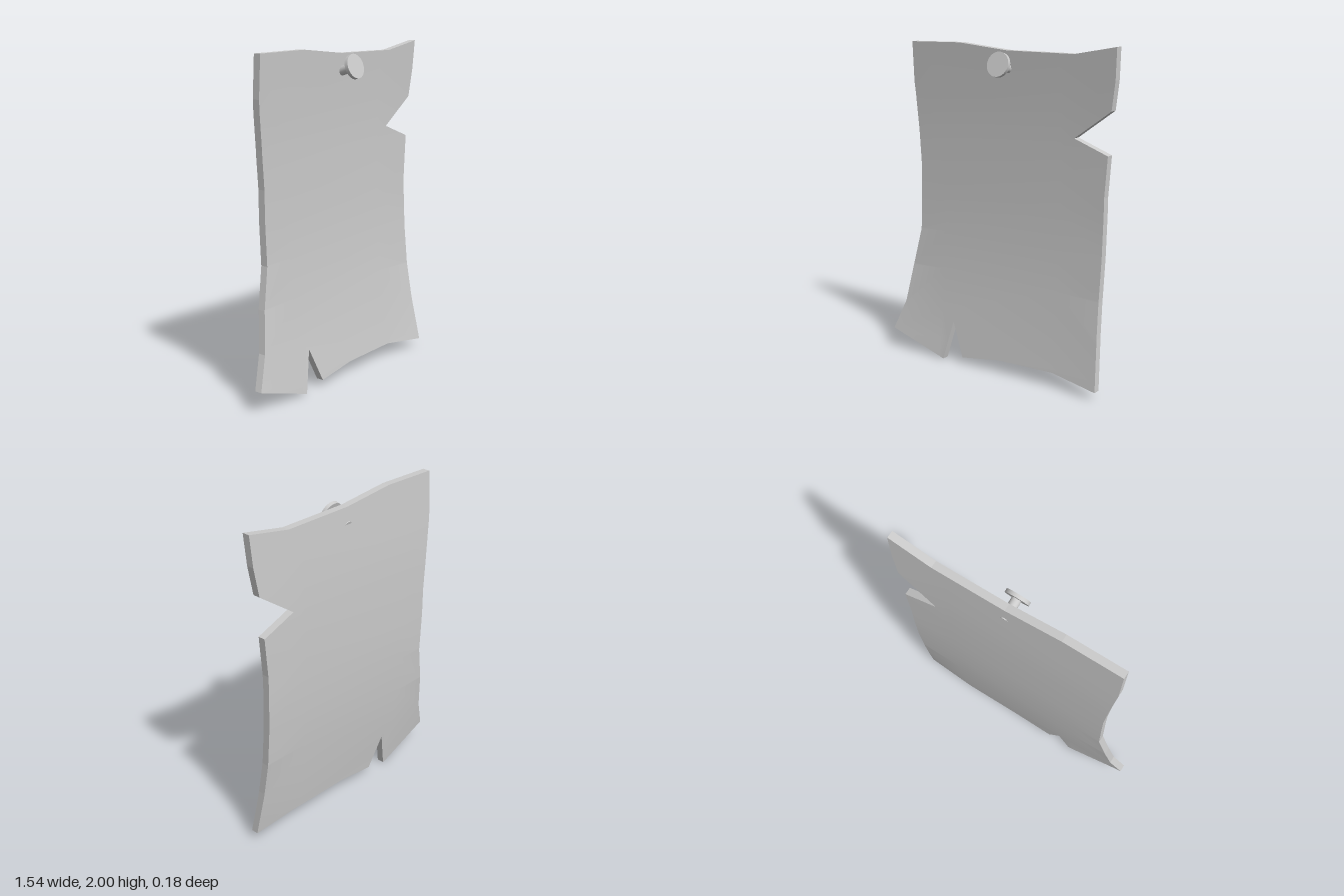
import * as THREE from 'three';
import { mergeVertices } from 'three/addons/utils/BufferGeometryUtils.js';

const THICKNESS = 0.046;

// Torn outline, counter-clockwise from the lower left corner
const OUTLINE = [
  [-0.775, 0.13], [-0.38, 0], [-0.32, 0.25], [-0.23, 0.04], [0.04, 0.08], [0.43, 0.09], [0.735, 0.05],
  [0.71, 0.35], [0.7, 0.56], [0.7, 1.16], [0.717, 1.4], [0.5, 1.48], [0.735, 1.65], [0.76, 1.82], [0.77, 2],
  [0.5, 1.95], [0.05, 1.95], [-0.29, 1.982], [-0.65, 1.975], [-0.65, 1.73], [-0.625, 1.45], [-0.61, 1.23],
  [-0.61, 0.8], [-0.66, 0.56], [-0.7, 0.32],
];

// Front surface depth by height: [y, z]
const BEND = [[-0.01, 0.056], [0.11, 0.04], [0.31, 0.012], [0.57, -0.017], [0.81, -0.032],
  [1.06, -0.043], [1.41, -0.044], [1.66, -0.039], [2.01, -0.02]];
const COLUMNS = [-0.79, -0.41, 0.41, 0.79];

// Bent sheet whose lower corners curl forward
function frontZ(x, y) {
  let i = 0;
  while (i < BEND.length - 2 && y > BEND[i + 1][0]) i++;
  const [y0, z0] = BEND[i], [y1, z1] = BEND[i + 1];
  const side = Math.max(0, (Math.abs(x) - 0.41) / 0.34);
  const low = Math.max(0, 1 - y / 0.81);
  return z0 + (z1 - z0) * (y - y0) / (y1 - y0) + 0.03 * side * low;
}

// Keep the part of a polygon where sign * (p[axis] - limit) >= 0
function clip(points, axis, limit, sign) {
  const out = [];
  points.forEach((a, i) => {
    const b = points[(i + 1) % points.length];
    const da = sign * (a[axis] - limit), db = sign * (b[axis] - limit);
    if (da >= 0) out.push(a);
    if (da * db < 0) {
      const t = da / (da - db);
      const p = [a[0] + (b[0] - a[0]) * t, a[1] + (b[1] - a[1]) * t];
      p[axis] = limit;
      out.push(p);
    }
  });
  return out;
}

function geometryFrom(positions) {
  const g = new THREE.BufferGeometry();
  g.setAttribute('position', new THREE.Float32BufferAttribute(positions, 3));
  return g;
}

function createSheet(material) {
  const front = [], back = [], rim = [];
  const at = ([x, y], depth) => [x, y, frontZ(x, y) - depth];

  // Cut the outline into grid cells so that every cell follows the bend
  for (let r = 0; r < BEND.length - 1; r++) {
    for (let c = 0; c < COLUMNS.length - 1; c++) {
      const y0 = BEND[r][0], y1 = BEND[r + 1][0], x0 = COLUMNS[c], x1 = COLUMNS[c + 1];
      let cell = clip(clip(OUTLINE, 1, y0, 1), 1, y1, -1);
      cell = clip(clip(cell, 0, x0, 1), 0, x1, -1);
      if (cell.length < 3) continue;

      const contour = cell.map(([x, y]) => new THREE.Vector2(x, y));
      for (const [i, j, k] of THREE.ShapeUtils.triangulateShape(contour, [])) {
        front.push(...at(cell[i], 0), ...at(cell[j], 0), ...at(cell[k], 0));
        back.push(...at(cell[i], THICKNESS), ...at(cell[k], THICKNESS), ...at(cell[j], THICKNESS));
      }

      // Rim walls only along the torn outline, not along the cuts
      cell.forEach((a, i) => {
        const b = cell[(i + 1) % cell.length];
        const onCut = (axis, v) => a[axis] === v && b[axis] === v;
        if (onCut(0, x0) || onCut(0, x1) || onCut(1, y0) || onCut(1, y1)) return;
        const fa = at(a, 0), fb = at(b, 0), ba = at(a, THICKNESS), bb = at(b, THICKNESS);
        rim.push(...fa, ...ba, ...bb, ...fa, ...bb, ...fb);
      });
    }
  }

  const sheet = new THREE.Group();
  sheet.name = 'sheet';
  const parts = {
    sheetFront: mergeVertices(geometryFrom(front)),
    sheetBack: mergeVertices(geometryFrom(back)),
    sheetRim: geometryFrom(rim),
  };
  for (const [name, geometry] of Object.entries(parts)) {
    geometry.computeVertexNormals();
    const mesh = new THREE.Mesh(geometry, material);
    mesh.name = name;
    sheet.add(mesh);
  }
  return sheet;
}

// Nail driven in slightly downward; its local +y points out to the head
function createNail(material) {
  const nail = new THREE.Group();
  nail.name = 'nail';
  const head = new THREE.Mesh(new THREE.CylinderGeometry(0.073, 0.073, 0.022, 32), material);
  head.name = 'nailHead';
  const shaft = new THREE.Mesh(new THREE.CylinderGeometry(0.028, 0.028, 0.136, 24), material);
  shaft.name = 'nailShaft';
  shaft.position.y = -0.068;
  nail.add(head, shaft);
  nail.position.set(0.052, 1.875, 0.059);
  nail.rotation.x = Math.PI / 2 - 0.29;
  return nail;
}

export function createModel() {
  const material = new THREE.MeshStandardMaterial({ color: 0xcccccc });
  const model = new THREE.Group();
  model.name = 'nailedSheet';
  model.add(createSheet(material), createNail(material));
  return model;
}
